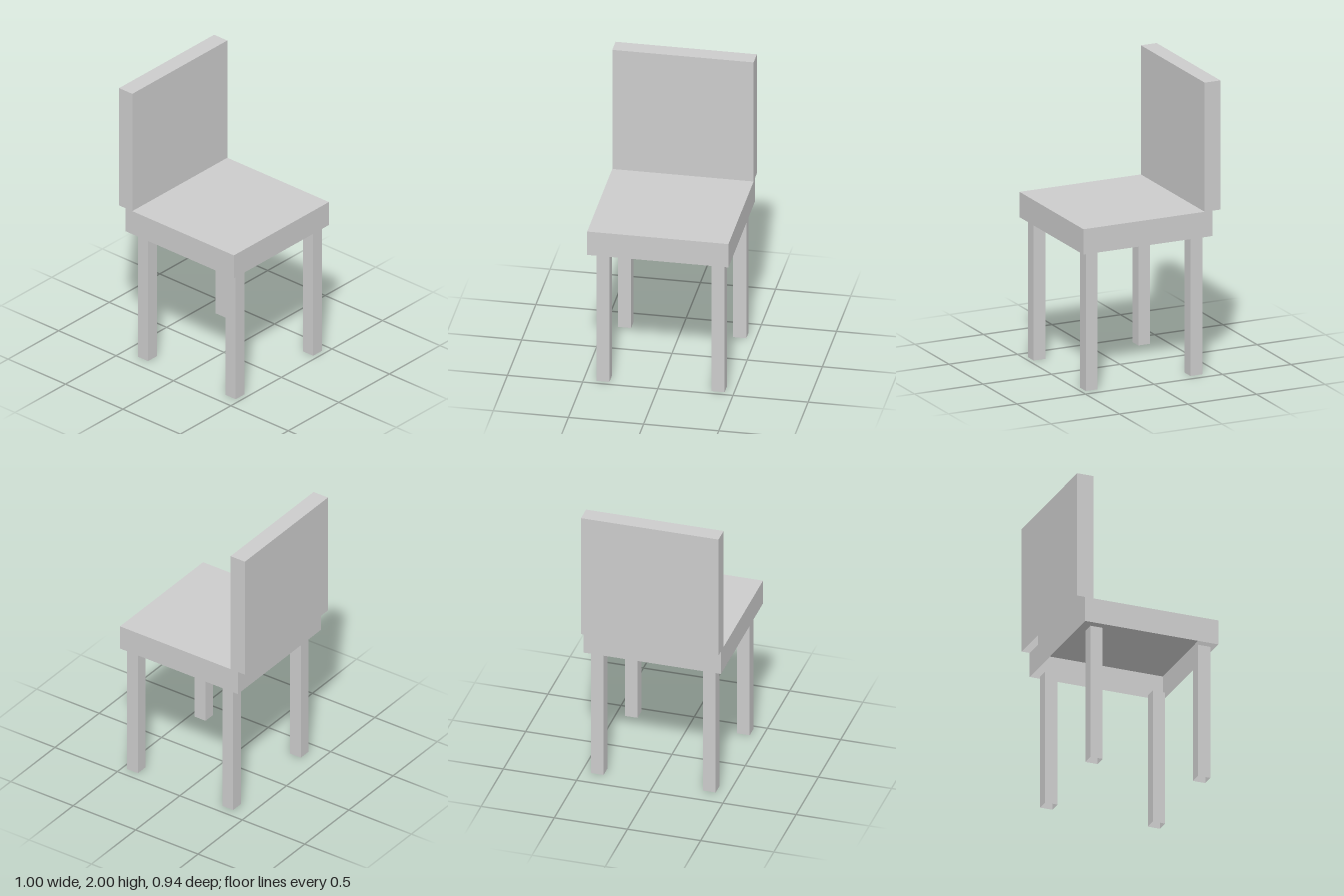
import * as THREE from 'three';

const material = new THREE.MeshStandardMaterial({ color: 0xcccccc, flatShading: true, side: THREE.DoubleSide });

// Box given by its min and max on each axis, hollow and open underneath
function openBox(name, [x0, x1], [y0, y1], [z0, z1]) {
  const geometry = new THREE.BoxGeometry(x1 - x0, y1 - y0, z1 - z0);
  const index = Array.from(geometry.index.array);
  index.splice(18, 6); // drop the bottom face
  geometry.setIndex(index);
  geometry.clearGroups();
  geometry.translate((x0 + x1) / 2, (y0 + y1) / 2, (z0 + z1) / 2);
  const mesh = new THREE.Mesh(geometry, material);
  mesh.name = name;
  return mesh;
}

export function createModel() {
  const chair = new THREE.Group();
  chair.name = 'chair';

  // Seat shell and upright backrest, which overhangs the seat's rear edge
  chair.add(openBox('seat', [-0.443, 0.5], [0.945, 1.118], [-0.47, 0.47]));
  chair.add(openBox('backrest', [-0.5, -0.385], [1.118, 2], [-0.47, 0.47]));

  // Four square legs; the seat faces +x
  const legX = { rear: [-0.383, -0.296], front: [0.38, 0.467] };
  const legZ = { Right: [0.328, 0.415], Left: [-0.438, -0.351] };
  for (const [end, x] of Object.entries(legX)) {
    for (const [side, z] of Object.entries(legZ)) {
      chair.add(openBox(`${end}${side}Leg`, x, [0, 0.945], z));
    }
  }
  return chair;
}
